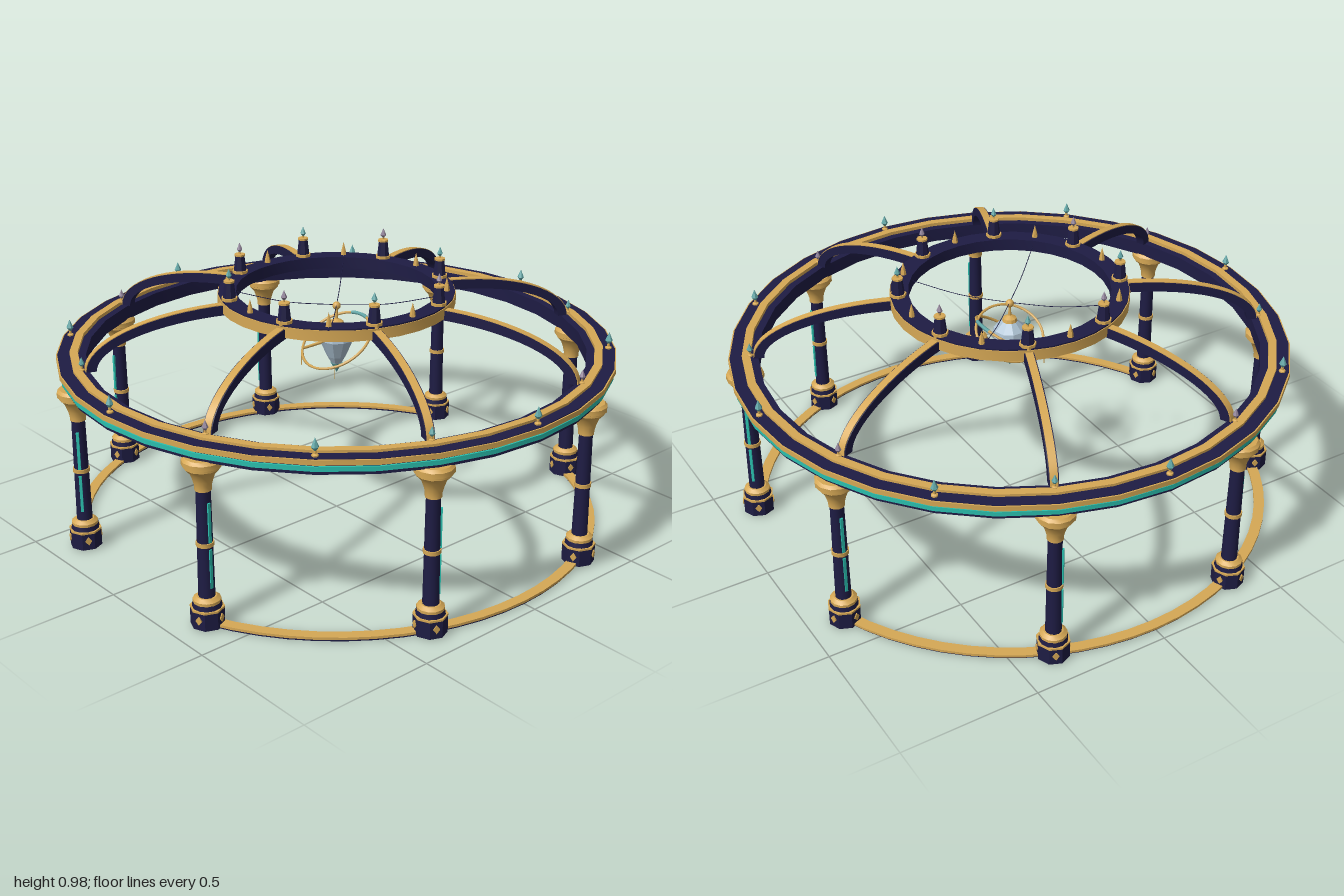
import * as THREE from 'three';
import { toCreasedNormals } from 'three/addons/utils/BufferGeometryUtils.js';

const makeMaterial = (name, color) => {
  const m = new THREE.MeshStandardMaterial({ color });
  m.name = name;
  return m;
};
const navy = makeMaterial('navy', 0x1e1c44);
const gold = makeMaterial('gold', 0xd6a855);
const teal = makeMaterial('teal', 0x2abfae);
const crystal = makeMaterial('pale crystal', 0xadc2d2);
const seaGlass = makeMaterial('sea glass', 0x63a8a8);
const violet = makeMaterial('violet glass', 0x94869c);

function add(parent, name, geometry, material, x = 0, y = 0, z = 0) {
  const mesh = new THREE.Mesh(geometry, material);
  mesh.name = name;
  mesh.position.set(x, y, z);
  parent.add(mesh);
  return mesh;
}

// Turned shape from [radius, height] pairs, outer side listed upward
function turned(points, sides, crease = 0.6, start = 0, length = Math.PI * 2) {
  const g = new THREE.LatheGeometry(points.map(p => new THREE.Vector2(...p)), sides, start, length);
  return toCreasedNormals(g, crease);
}

// Ring with a rectangular section
function band(inner, outer, y0, y1, sides = 32, start, length) {
  return turned([[outer, y0], [outer, y1], [inner, y1], [inner, y0], [outer, y0]], sides, 0.6, start, length);
}

// Curved rib between two nested quarter ellipses, running out along +z
function ribGeometry(depth0, depth1, width) {
  const pts = [];
  const steps = 16;
  const at = (d, t) => new THREE.Vector2(0.40 + (0.51 - d) * Math.cos(t), 0.665 + (0.19 - d) * Math.sin(t));
  for (let i = 0; i <= steps; i++) pts.push(at(depth0, i / steps * Math.PI / 2));
  for (let i = steps; i >= 0; i--) pts.push(at(depth1, i / steps * Math.PI / 2));
  const g = new THREE.ExtrudeGeometry(new THREE.Shape(pts), { depth: width, bevelEnabled: false });
  g.translate(0, 0, -width / 2);
  g.rotateY(-Math.PI / 2);
  return toCreasedNormals(g, 0.5);
}

// Finial: gold stem carrying a pointed gem
function finial(parent, material, y, z, s = 1) {
  const f = new THREE.Group();
  f.name = 'finial';
  f.position.set(0, y, z);
  f.scale.setScalar(s);
  add(f, 'finialStem', turned([[0, 0], [0.012, 0], [0.012, 0.006], [0.005, 0.01], [0.005, 0.02], [0, 0.02]], 8), gold);
  add(f, 'finialGem', turned([[0, 0.014], [0.0135, 0.032], [0, 0.064]], 6, 0.1), material);
  parent.add(f);
}

const COLUMN_R = 0.945;

function column(parent) {
  const c = new THREE.Group();
  c.name = 'column';
  c.position.z = COLUMN_R;
  parent.add(c);
  add(c, 'plinth', turned([[0, 0.005], [0.057, 0.005], [0.057, 0.068], [0, 0.068]], 8, 0.3, Math.PI / 8), navy);
  add(c, 'plinthBand', turned([[0, 0.066], [0.058, 0.066], [0.058, 0.073], [0, 0.073]], 8, 0.3, Math.PI / 8), gold);
  add(c, 'baseStep', turned([[0, 0.073], [0.05, 0.073], [0.047, 0.09], [0, 0.09]], 12), navy);
  add(c, 'baseMoulding', turned([[0, 0.088], [0.047, 0.088], [0.047, 0.1], [0.034, 0.11], [0, 0.11]], 12), gold);
  add(c, 'shaft', turned([[0.028, 0.108], [0.024, 0.5]], 12, 0.7), navy);
  add(c, 'shaftRing', turned([[0.02, 0.293], [0.03, 0.293], [0.03, 0.307], [0.02, 0.307]], 12), gold);
  add(c, 'capital', turned([[0, 0.49], [0.028, 0.49], [0.028, 0.505], [0.033, 0.525], [0.042, 0.55], [0.06, 0.57],
    [0.06, 0.577], [0.067, 0.58], [0.067, 0.597], [0.058, 0.607], [0, 0.607]], 12), gold);
  const flank = 1.2;
  for (const y of [0.215, 0.38]) { // glowing inlay on one flank
    const inlay = add(c, 'shaftInlay', new THREE.BoxGeometry(0.01, 0.14, 0.008), teal,
      0.026 * Math.sin(flank), y, 0.026 * Math.cos(flank));
    inlay.rotation.y = flank;
  }
  for (let k = 0; k < 4; k++) { // lozenges around the plinth
    const a = k * Math.PI / 2;
    const d = add(c, 'plinthLozenge', new THREE.CylinderGeometry(0.012, 0.012, 0.008, 4), gold,
      0.053 * Math.sin(a), 0.04, 0.053 * Math.cos(a));
    d.geometry.rotateX(Math.PI / 2);
    d.scale.y = 1.3;
    d.rotation.y = a;
  }
}

// Small stepped turret on the inner ring
function turret(parent, gem) {
  const t = new THREE.Group();
  t.name = 'turret';
  t.position.set(0, 0.862, 0.393);
  parent.add(t);
  add(t, 'turretFoot', turned([[0, 0], [0.029, 0], [0.029, 0.014], [0, 0.014]], 8), gold);
  add(t, 'turretBody', turned([[0, 0.01], [0.024, 0.01], [0.017, 0.07], [0, 0.07]], 8), navy);
  add(t, 'turretCap', turned([[0, 0.068], [0.02, 0.068], [0.02, 0.075], [0, 0.077]], 8), gold);
  finial(t, gem, 0.067, 0, 0.8);
}

function orrery(parent) {
  const o = new THREE.Group();
  o.name = 'hangingOrrery';
  parent.add(o);
  add(o, 'heartCrystal', turned([[0, 0.55], [0.035, 0.61], [0.063, 0.675], [0.058, 0.7], [0.022, 0.735], [0, 0.735]], 10, 0.1), crystal);
  add(o, 'crystalTip', turned([[0, 0.545], [0.018, 0.575], [0.022, 0.583], [0, 0.583]], 8, 0.1), seaGlass);
  add(o, 'crystalCap', turned([[0, 0.728], [0.028, 0.728], [0.024, 0.742], [0.006, 0.752], [0.004, 0.79], [0, 0.79]], 10), gold);
  add(o, 'hangerBall', new THREE.SphereGeometry(0.015, 12, 8), gold, 0, 0.8, 0);
  // two tilted orbit rings
  const flat = g => g.rotateX(Math.PI / 2);
  const a = add(o, 'wideOrbit', flat(new THREE.TorusGeometry(0.136, 0.005, 6, 40)), gold, 0, 0.668, 0);
  a.rotation.x = 0.57;
  const arc = flat(new THREE.TorusGeometry(0.136, 0.007, 6, 8, 0.6)).rotateY(Math.PI / 2 + 0.3);
  add(a, 'orbitInlay', arc, seaGlass);
  const b = add(o, 'narrowOrbit', flat(new THREE.TorusGeometry(0.124, 0.005, 6, 40)), gold, 0, 0.678, 0);
  b.rotation.z = 0.48;
  for (const s of [-1, 1])
    add(o, 'pendant', new THREE.CylinderGeometry(0.0015, 0.0015, 0.045, 5), gold, s * 0.09, 0.592, 0.09);
  // slack cables up to the inner ring
  for (let k = 0; k < 4; k++) {
    const ang = Math.PI / 4 + k * Math.PI / 2;
    const p = (r, y) => new THREE.Vector3(r * Math.sin(ang), y, r * Math.cos(ang));
    const curve = new THREE.CatmullRomCurve3([p(0, 0.803), p(0.18, 0.81), p(0.365, 0.845)]);
    add(o, 'cable', new THREE.TubeGeometry(curve, 10, 0.0014, 4), navy);
  }
}

export function createModel() {
  const model = new THREE.Group();
  model.name = 'pavilion';

  // Ground kerbs on the two sides, open at front and back
  for (const side of [0, Math.PI]) {
    const start = side + Math.PI / 8, length = Math.PI * 0.75;
    add(model, 'kerbBase', band(0.927, 0.953, 0, 0.009, 24, start, length), navy);
    add(model, 'kerbTop', band(0.921, 0.959, 0.008, 0.017, 24, start, length), gold);
  }

  // Ring beam
  add(model, 'ringBeam', band(0.893, 0.984, 0.605, 0.658), navy);
  add(model, 'beamInlay', band(0.975, 0.991, 0.618, 0.634), teal);
  add(model, 'beamCornice', band(0.975, 0.998, 0.642, 0.66), gold);
  add(model, 'beamCorniceTop', band(0.945, 0.993, 0.655, 0.662), navy);
  add(model, 'beamBead', band(0.921, 0.95, 0.65, 0.671), gold);

  // Inner crown ring
  add(model, 'crownRing', band(0.357, 0.42, 0.822, 0.866), navy);
  add(model, 'crownBand', band(0.414, 0.423, 0.822, 0.861), gold);

  // Eight radial bays
  const ribBody = ribGeometry(0.003, 0.038, 0.033);
  const ribCap = ribGeometry(0, 0.005, 0.026);
  for (let k = 0; k < 8; k++) {
    const gem = k % 2 ? seaGlass : violet;
    const bay = new THREE.Group();
    bay.name = 'bay';
    bay.rotation.y = Math.PI / 8 + k * Math.PI / 4;
    model.add(bay);
    column(bay);
    add(bay, 'rib', ribBody, navy);
    add(bay, 'ribCap', ribCap, gold);
    finial(bay, gem, 0.668, 0.92, 0.8);
    turret(bay, gem);

    // ornaments halfway between the ribs
    const mid = new THREE.Group();
    mid.name = 'midBay';
    mid.rotation.y = k * Math.PI / 4;
    model.add(mid);
    finial(mid, seaGlass, 0.661, 0.97, 0.98);
    add(mid, 'crownSpike', turned([[0, 0.862], [0.012, 0.862], [0.009, 0.882], [0, 0.915]], 6), gold, 0, 0, 0.39);
  }

  orrery(model);
  return model;
}
